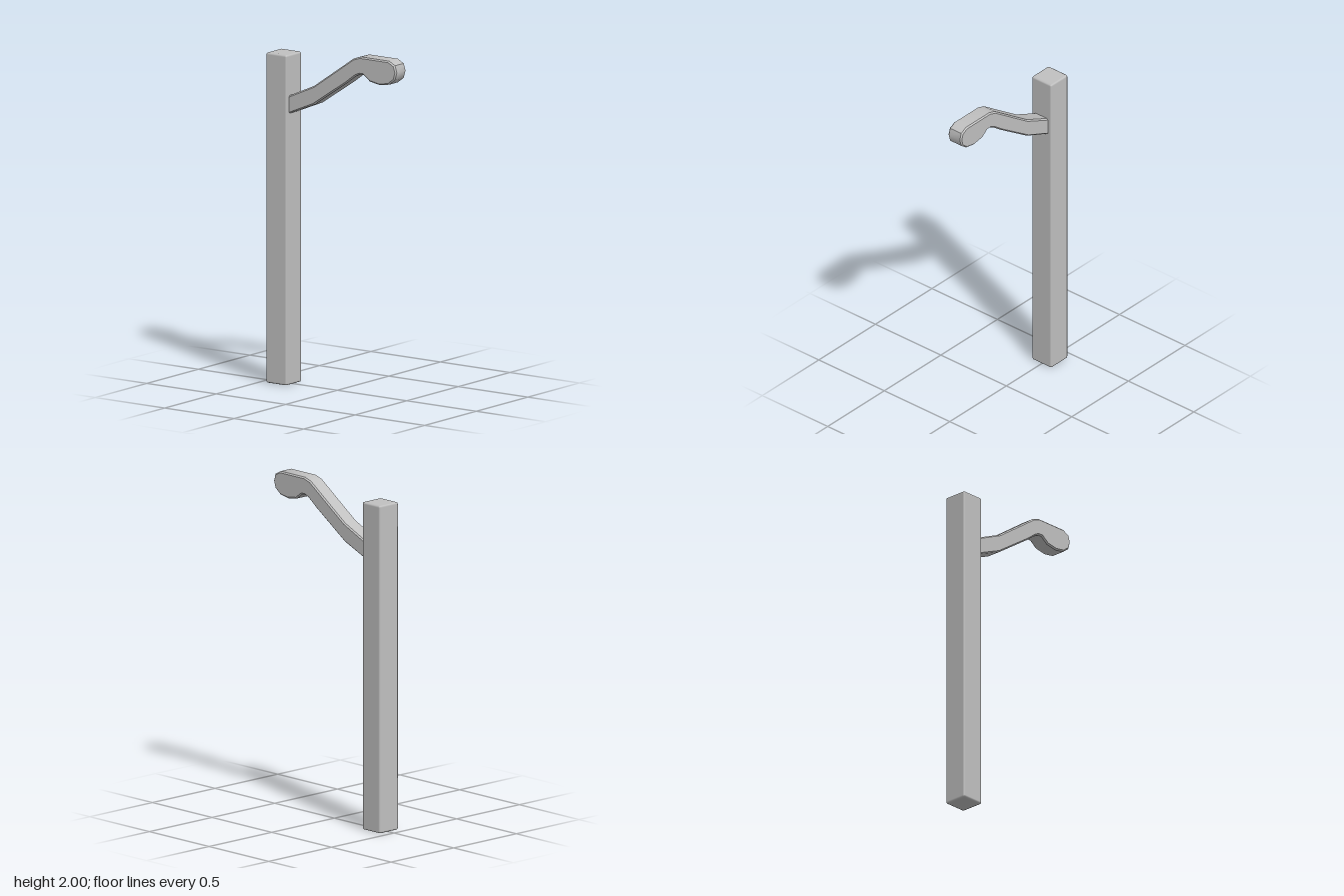
import * as THREE from 'three';
import { toCreasedNormals } from 'three/addons/utils/BufferGeometryUtils.js';
import { RoundedBoxGeometry } from 'three/addons/geometries/RoundedBoxGeometry.js';

export function createModel() {
  const group = new THREE.Group();
  const grey = new THREE.MeshStandardMaterial({ color: 0xc0c0c0 });
  grey.name = 'light grey';

  // Tall square post with softened edges
  const post = new THREE.Mesh(new RoundedBoxGeometry(0.15, 1.95, 0.15, 1, 0.012), grey);
  post.name = 'post';
  post.position.set(0, 0.975, -0.385);
  group.add(post);

  // Curved arm with a bulbous tip: side profile as (z, y)
  const profile = [
    [-0.32, 1.6], [-0.135, 1.676], [0.103, 1.835], [0.167, 1.883], [0.195, 1.896],
    [0.222, 1.896], [0.267, 1.862], [0.34, 1.85], [0.405, 1.861], [0.447, 1.893],
    [0.46, 1.937], [0.447, 1.978], [0.405, 2], [0.2, 2], [0.15, 1.984],
    [0, 1.88], [-0.135, 1.787], [-0.32, 1.705],
  ].map(([z, y]) => new THREE.Vector2(z, y));
  const bevel = 0.008;
  const width = 0.1;
  const armGeometry = new THREE.ExtrudeGeometry(new THREE.Shape(profile), {
    depth: width - 2 * bevel,
    bevelEnabled: true,
    bevelThickness: bevel,
    bevelSize: bevel,
    bevelOffset: -bevel,
    bevelSegments: 1,
  });
  armGeometry.translate(0, 0, bevel - width / 2);
  armGeometry.rotateY(-Math.PI / 2);
  const arm = new THREE.Mesh(toCreasedNormals(armGeometry, 0.7), grey);
  arm.name = 'arm';
  group.add(arm);

  return group;
}
